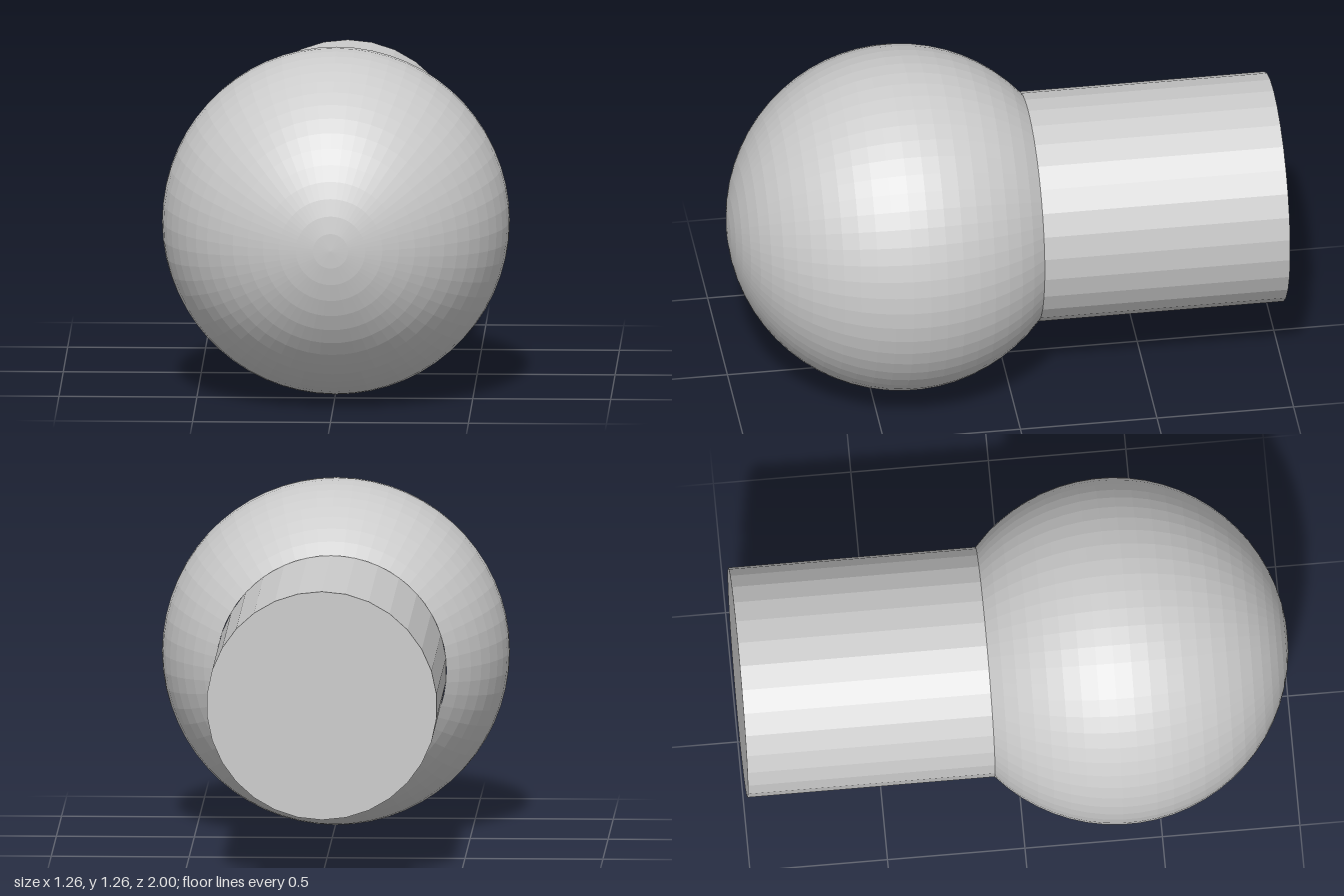
import * as THREE from 'three';

const BALL_RADIUS = 0.63;
const BALL_Z = 0.37;
const STEM_RADIUS = 0.418;
const STEM_BACK = -1;
const STEM_FRONT = -0.08; // slightly inside the ball, so the seam is closed

export function createModel() {
  const group = new THREE.Group();
  group.name = 'ballStud';
  const material = new THREE.MeshStandardMaterial({ color: 0xcccccc, flatShading: true });

  const add = (name, geometry, z) => {
    geometry.rotateX(Math.PI / 2); // axis along z
    const mesh = new THREE.Mesh(geometry, material);
    mesh.name = name;
    mesh.position.set(0, BALL_RADIUS, z);
    group.add(mesh);
  };

  // Ball, pole facing the front, open where the stem joins it
  const openAngle = Math.PI - Math.asin(STEM_RADIUS / BALL_RADIUS);
  add('ball', new THREE.SphereGeometry(BALL_RADIUS, 60, 24, 0, Math.PI * 2, 0, openAngle), BALL_Z);

  // Straight faceted stem running to the back
  const length = STEM_FRONT - STEM_BACK;
  add('stem', new THREE.CylinderGeometry(STEM_RADIUS, STEM_RADIUS, length, 30), STEM_BACK + length / 2);

  return group;
}
